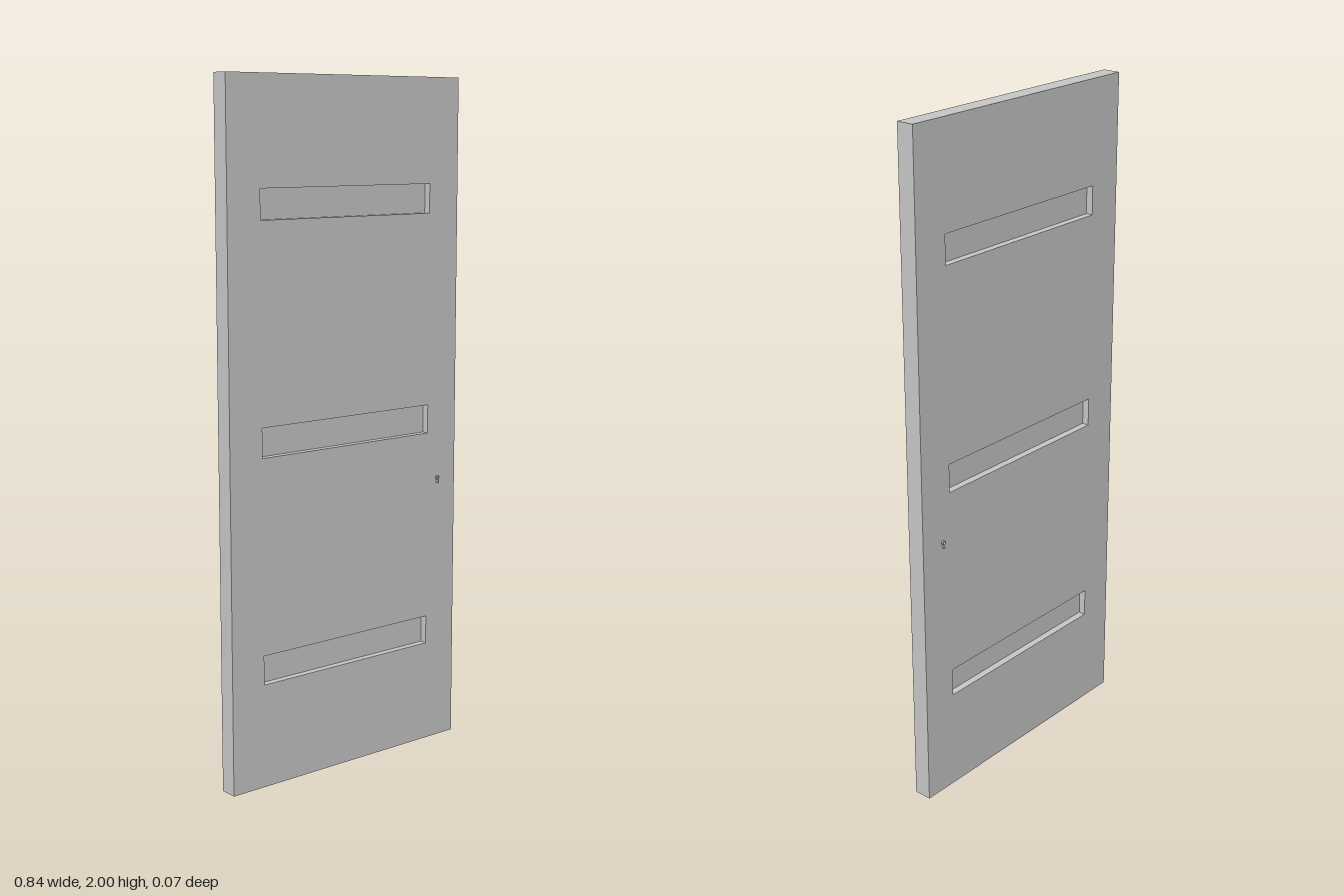
import * as THREE from 'three';

const WIDTH = 0.838, HEIGHT = 2, DEPTH = 0.053;
const SLOT_W = 0.617, SLOT_H = 0.085, SLOT_DEPTH = 0.021;
const SLOT_Y = [0.347, 1, 1.653];

// Rectangle outline centred on (0, cy)
function trace(path, w, h, cy) {
  path.moveTo(-w / 2, cy - h / 2);
  path.lineTo(w / 2, cy - h / 2);
  path.lineTo(w / 2, cy + h / 2);
  path.lineTo(-w / 2, cy + h / 2);
  path.closePath();
  return path;
}

// Open-ended wall following a keyhole outline: round top, narrow straight stem
function keyholeWall(depth) {
  const r = 0.0055, outline = [[0.0022, -0.012]];
  for (let i = 0; i <= 10; i++) {
    const a = -Math.PI * 0.37 + (i / 10) * Math.PI * 1.74;
    outline.push([Math.cos(a) * r, 0.004 + Math.sin(a) * r]);
  }
  outline.push([-0.0022, -0.012]);
  const pos = [], index = [], n = outline.length;
  for (let i = 0; i < n; i++) {
    const [x, y] = outline[i];
    pos.push(x, y, -depth / 2, x, y, depth / 2);
    const a = 2 * i, b = 2 * ((i + 1) % n);
    index.push(a, b, b + 1, a, b + 1, a + 1);
  }
  const geo = new THREE.BufferGeometry();
  geo.setAttribute('position', new THREE.Float32BufferAttribute(pos, 3));
  geo.setIndex(index);
  const flat = geo.toNonIndexed();
  flat.computeVertexNormals();
  return flat;
}

export function createModel() {
  const group = new THREE.Group();
  group.name = 'door';
  const grey = new THREE.MeshStandardMaterial({ color: 0xc4c4c4, side: THREE.DoubleSide });
  grey.name = 'door grey';

  // Door leaf pierced by three wide slots
  const shape = trace(new THREE.Shape(), WIDTH, HEIGHT, HEIGHT / 2);
  for (const y of SLOT_Y) shape.holes.push(trace(new THREE.Path(), SLOT_W, SLOT_H, y));
  const leafGeo = new THREE.ExtrudeGeometry(shape, { depth: DEPTH, bevelEnabled: false });
  leafGeo.translate(0, 0, -DEPTH / 2);
  const leaf = new THREE.Mesh(leafGeo, grey);
  leaf.name = 'doorLeaf';
  group.add(leaf);

  // Recessed panel closing each slot, sunk from both faces
  const panelGeo = new THREE.BoxGeometry(SLOT_W, SLOT_H, DEPTH - 2 * SLOT_DEPTH);
  SLOT_Y.forEach((y, i) => {
    const panel = new THREE.Mesh(panelGeo, grey);
    panel.name = `recessedPanel${i + 1}`;
    panel.position.y = y;
    group.add(panel);
  });

  // Keyhole rims just off the front and back faces
  const rimGeo = keyholeWall(0.006);
  for (const side of [1, -1]) {
    const rim = new THREE.Mesh(rimGeo, grey);
    rim.name = side > 0 ? 'frontKeyhole' : 'backKeyhole';
    rim.position.set(0.3438, 0.814, side * 0.0328);
    group.add(rim);
  }
  return group;
}
